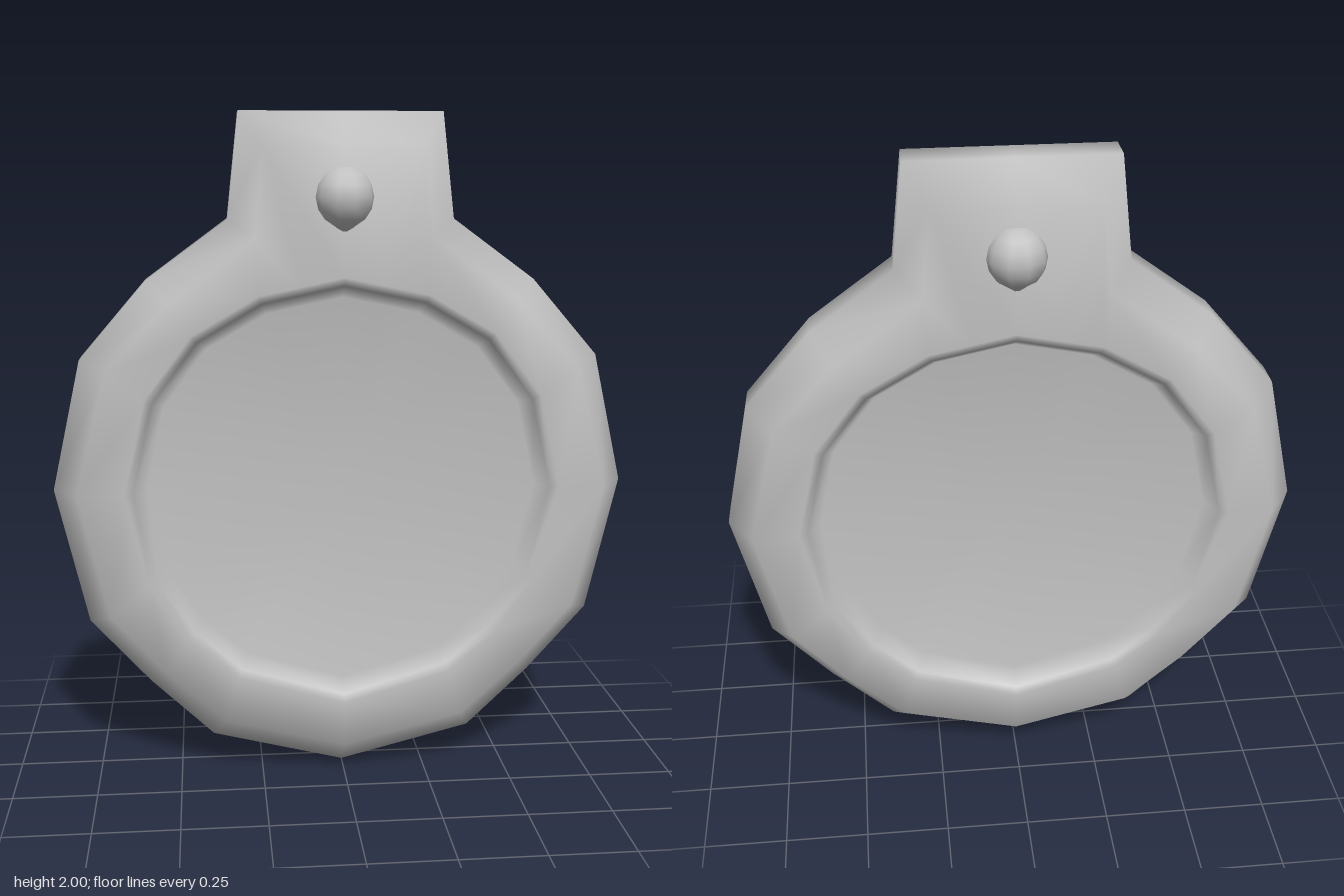
import * as THREE from 'three';

const silver = new THREE.MeshStandardMaterial({ color: 0xc0c0c0 });
silver.name = 'silver grey';

// Half outlines from bottom to top (x >= 0); mirrored to close the loop
const outer = [[0, 0], [0.4, 0.1], [0.59, 0.28], [0.77, 0.48], [0.865, 0.89], [0.778, 1.28],
  [0.58, 1.51], [0.335, 1.69], [0.3, 2], [0, 2]];
const shoulder = [[0, 0.09], [0.36, 0.18], [0.54, 0.34], [0.7, 0.52], [0.79, 0.89], [0.7, 1.25],
  [0.52, 1.45], [0.26, 1.64], [0.235, 1.9], [0, 1.9]];
const rim = [[0, 0.25], [0.31, 0.34], [0.45, 0.46], [0.56, 0.62], [0.625, 0.89], [0.565, 1.16],
  [0.43, 1.34], [0.24, 1.45], [0.12, 1.475], [0, 1.5]];

const CENTRE_Y = 0.88;
const FLOOR_Z = 0.085;
const shrink = (loop, s) => loop.map(([x, y]) => [x * s, CENTRE_Y + (y - CENTRE_Y) * s]);
const mirror = half => [...half, ...half.slice(1, -1).reverse().map(([x, y]) => [-x, y])];

// Medallion body: concentric outlines lofted from the front recess, round the edge, to the back recess
function bodyGeometry() {
  const front = [
    [shrink(rim, 0.94), FLOOR_Z],
    [rim, 0.145],
    [shrink(rim, 1.04), 0.155],
    [shoulder, 0.155],
    [outer, 0.05],
  ];
  const back = front.map(([loop, z]) => [loop, -z]).reverse();
  const rows = [...front, ...back];
  const pos = [], index = [];
  for (const [loop, z] of rows) for (const [x, y] of mirror(loop)) pos.push(x, y, z);
  const n = mirror(outer).length;
  for (let i = 0; i < rows.length - 1; i++) {
    for (let j = 0; j < n; j++) {
      const k = (j + 1) % n;
      const a = i * n + j, b = a + n, c = (i + 1) * n + k, d = i * n + k;
      index.push(a, b, c, a, c, d);
    }
  }
  // Flat floors of the two recesses
  const f = pos.length / 3, last = (rows.length - 1) * n;
  pos.push(0, CENTRE_Y, FLOOR_Z, 0, CENTRE_Y, -FLOOR_Z);
  for (let j = 0; j < n; j++) {
    const k = (j + 1) % n;
    index.push(f, j, k, f + 1, last + k, last + j);
  }
  const g = new THREE.BufferGeometry();
  g.setAttribute('position', new THREE.Float32BufferAttribute(pos, 3));
  g.setIndex(index);
  g.computeVertexNormals();
  return g;
}

// Rivet: a small ball with its lowest point drawn down
function rivetGeometry() {
  const g = new THREE.SphereGeometry(0.09, 10, 8);
  const p = g.attributes.position;
  for (let i = 0; i < p.count; i++) if (p.getY(i) < -0.085) p.setY(i, -0.115);
  return g;
}

export function createModel() {
  const model = new THREE.Group();
  model.name = 'medallion';

  const body = new THREE.Mesh(bodyGeometry(), silver);
  body.name = 'body';
  model.add(body);

  const ball = rivetGeometry();
  for (const [name, side] of [['frontRivet', 1], ['backRivet', -1]]) {
    const rivet = new THREE.Mesh(ball, silver);
    rivet.name = name;
    rivet.position.set(0, 1.755, side * 0.137);
    model.add(rivet);
  }
  return model;
}
